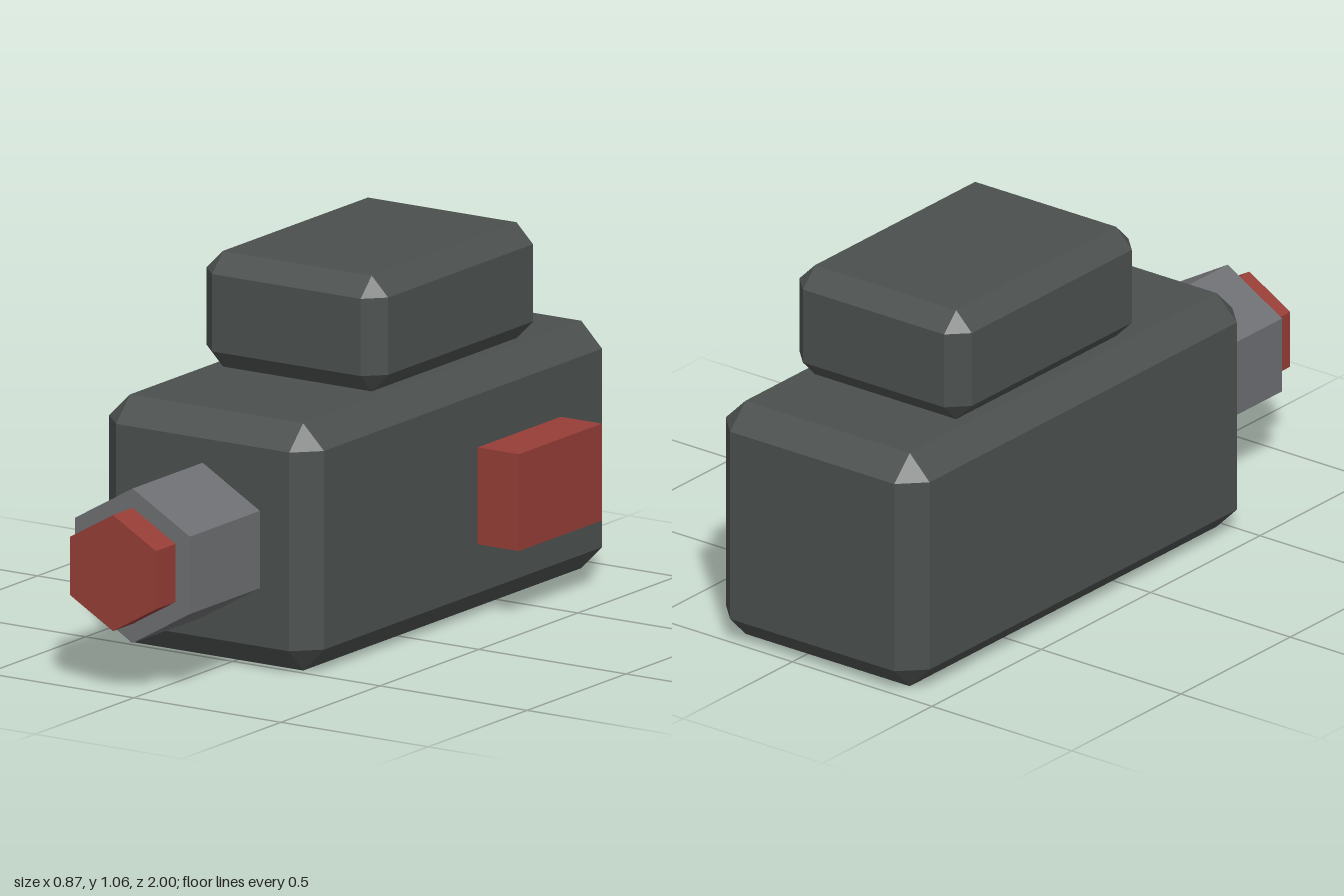
import * as THREE from 'three';
import { ConvexGeometry } from 'three/addons/geometries/ConvexGeometry.js';

const casing = new THREE.MeshStandardMaterial({ color: 0x4b504f });
casing.name = 'dark casing';
const metal = new THREE.MeshStandardMaterial({ color: 0x6e6f72 });
metal.name = 'grey metal';
const red = new THREE.MeshStandardMaterial({ color: 0x963e37 });
red.name = 'red accent';

// Box with every edge and corner cut at 45 degrees
function chamferBox(w, h, d, c) {
  const points = [];
  for (const x of [-1, 1]) for (const y of [-1, 1]) for (const z of [-1, 1]) {
    for (let axis = 0; axis < 3; axis++) {
      const inset = [c, c, c];
      inset[axis] = 0;
      points.push(new THREE.Vector3(
        x * (w / 2 - inset[0]), y * (h / 2 - inset[1]), z * (d / 2 - inset[2])));
    }
  }
  return new ConvexGeometry(points);
}

// Hexagonal bar along z, one corner pointing up, flat faces
function hexBar(radius, length) {
  const bar = new THREE.CylinderGeometry(radius, radius, length, 6)
    .rotateX(Math.PI / 2).toNonIndexed();
  bar.computeVertexNormals();
  return bar;
}

export function createModel() {
  const model = new THREE.Group();
  model.name = 'device';

  function add(name, geometry, material, x, y, z) {
    const mesh = new THREE.Mesh(geometry, material);
    mesh.name = name;
    mesh.position.set(x, y, z);
    model.add(mesh);
  }

  // Main housing with the smaller block on top
  add('housing', chamferBox(0.73, 0.72, 1.547, 0.071), casing, -0.071, 0.36, -0.2265);
  add('topBlock', chamferBox(0.617, 0.337, 0.844, 0.056), casing, -0.071, 0.8885, -0.298);

  // Stepped hexagonal nozzle at the front
  add('nozzle', hexBar(0.225, 0.354), metal, -0.071, 0.353, 0.724);
  add('nozzleTip', hexBar(0.169, 0.099), red, -0.071, 0.353, 0.9505);

  // Block on the left side
  add('sideBlock', new THREE.BoxGeometry(0.14, 0.282, 0.42), red, 0.364, 0.354, -0.51);

  return model;
}
